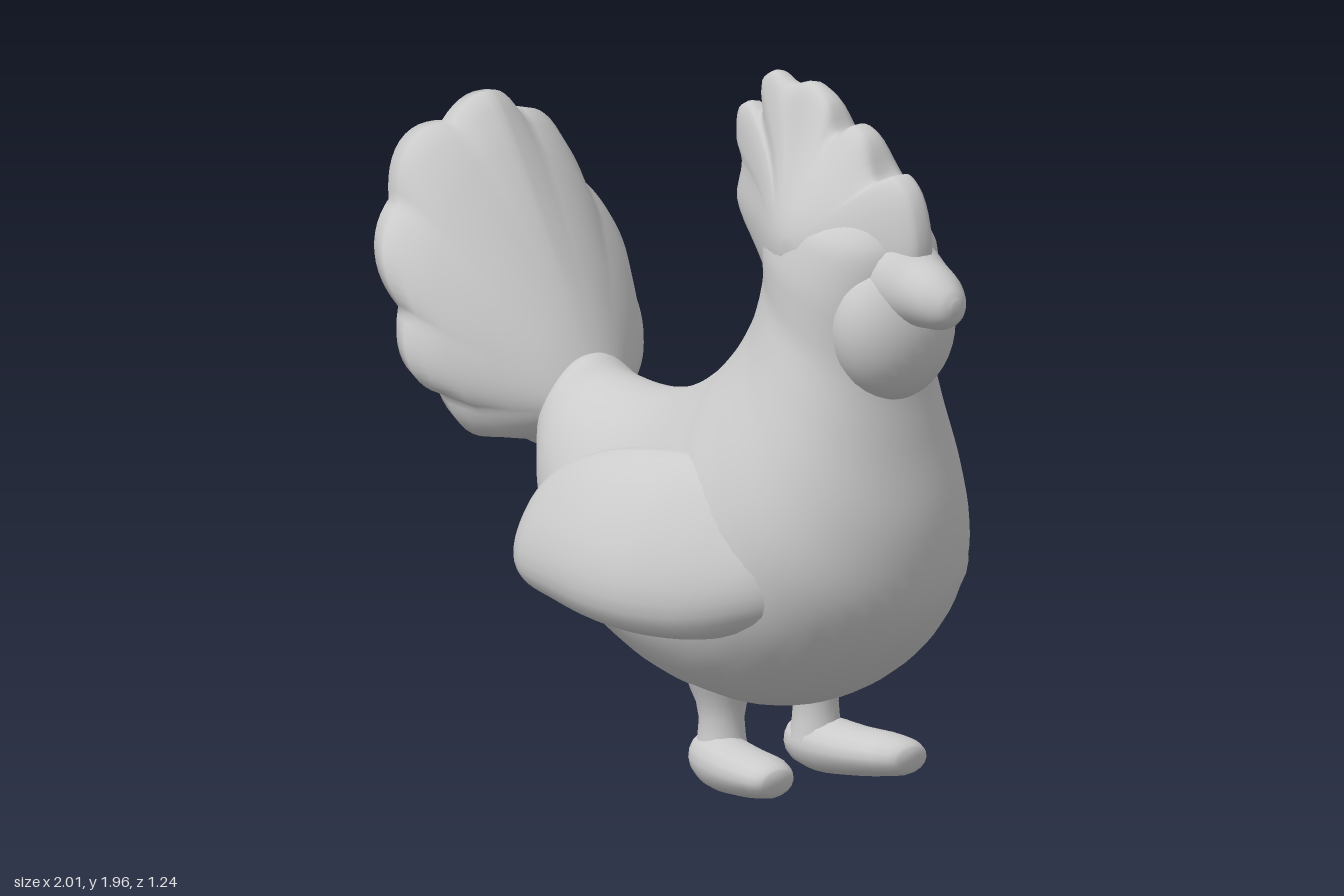
import * as THREE from 'three';

const material = new THREE.MeshStandardMaterial({ color: 0xcccccc, side: THREE.DoubleSide });

// Closed skin over a list of rings (arrays of Vector3), each end drawn to its centre
function skin(name, rings) {
  const n = rings[0].length;
  const cap = (ring) => {
    const c = ring.reduce((s, p) => s.add(p), new THREE.Vector3()).divideScalar(n);
    return ring.map(() => c);
  };
  const all = [cap(rings[0]), ...rings, cap(rings[rings.length - 1])];
  const position = all.flat().flatMap((p) => [p.x, p.y, p.z]);
  const index = [];
  for (let i = 0; i < all.length - 1; i++) {
    for (let j = 0; j < n; j++) {
      const a = i * n + j, b = i * n + (j + 1) % n;
      index.push(a, b, a + n, b, b + n, a + n);
    }
  }
  const geometry = new THREE.BufferGeometry();
  geometry.setAttribute('position', new THREE.Float32BufferAttribute(position, 3));
  geometry.setIndex(index);
  geometry.computeVertexNormals();
  const mesh = new THREE.Mesh(geometry, material);
  mesh.name = name;
  return mesh;
}

// Smooth loft through oval stations [topX, topY, bottomX, bottomY, z, halfWidth].
// belly widens the lower half, lean tips the section inward at the top.
function loft(name, stations, { steps = 5, sides = 32, belly = 0, lean = 0 } = {}) {
  const curve = (k) => new THREE.CatmullRomCurve3(
    stations.map((s) => new THREE.Vector3(s[k], s[k + 1], 0)));
  const [tops, bottoms, widths] = [curve(0), curve(2), curve(4)];
  const count = (stations.length - 1) * steps;
  const rings = [];
  for (let i = 0; i <= count; i++) {
    const t = i / count;
    const top = tops.getPoint(t), bottom = bottoms.getPoint(t), w = widths.getPoint(t);
    const mid = top.clone().add(bottom).multiplyScalar(0.5);
    const half = top.clone().sub(mid);
    rings.push(Array.from({ length: sides }, (_, j) => {
      const a = (j / sides) * Math.PI * 2, c = Math.cos(a);
      const z = w.x + Math.max(w.y, 0.002) * Math.sin(a) * (1 - belly * c) - lean * half.y * c;
      return mid.clone().addScaledVector(half, c).setZ(z);
    }));
  }
  return skin(name, rings);
}

// Mirror a part made for +z over to -z
function mirrored(part, name) {
  const copy = part.clone();
  copy.name = name;
  copy.scale.z = -1;
  return copy;
}

// Thick comb: scalloped and rounded at the edge, smooth where it runs into the head
function makeComb() {
  const outline = [
    [0.31, 1.41], [0.2, 1.49], [0.12, 1.6], [0.14, 1.71], [0.115, 1.77], [0.125, 1.85],
    [0.17, 1.87], [0.225, 1.85], [0.22, 1.94], [0.27, 1.97], [0.34, 1.945], [0.42, 1.96],
    [0.5, 1.92], [0.545, 1.84], [0.6, 1.87], [0.66, 1.84], [0.715, 1.735], [0.77, 1.755],
    [0.83, 1.71], [0.865, 1.6], [0.86, 1.5], [0.8, 1.38], [0.6, 1.32], [0.42, 1.35],
  ].map(([x, y]) => new THREE.Vector3(x, y, 0));
  const edge = new THREE.CatmullRomCurve3(outline, true).getPoints(96).slice(0, -1);
  const centre = new THREE.Vector3(0.53, 1.54, 0);
  const rings = [];
  for (let i = 1; i < 32; i++) {
    const t = (i / 32) * Math.PI, s = Math.sin(t);
    const side = Math.sign(16 - i);
    const rim = 0.08 * Math.abs(Math.cos(t)) ** 0.65;
    const z = side * (rim + 0.12 * (1 - s) ** 2 * (1 + 2 * s));
    rings.push(edge.map((p) => {
      const spoke = p.clone().sub(centre);
      const r = THREE.MathUtils.lerp(0.36, spoke.length(), s ** 4);
      return spoke.setLength(r * s).add(centre).setZ(z);
    }));
  }
  return skin('comb', rings);
}

// Fan tail: a cone opening backward to a thick scalloped rim, widest low down
function makeTail() {
  // centre x, centre y, scale, scallop depth, backward sweep of the sides
  const stations = [
    [-0.48, 0.97, 0.2, 0, 0], [-0.54, 1.04, 0.37, 0, 0], [-0.62, 1.12, 0.61, 0.01, 0.1],
    [-0.7, 1.2, 0.84, 0.03, 0.4], [-0.75, 1.245, 0.95, 0.07, 0.7],
    [-0.785, 1.265, 1, 0.1, 0.95], [-0.825, 1.275, 0.97, 0.1, 1.1],
    [-0.84, 1.275, 0.89, 0.07, 1.1], [-0.825, 1.265, 0.7, 0.02, 0.7],
    [-0.79, 1.25, 0.35, 0, 0.2], [-0.78, 1.25, 0.05, 0, 0],
  ];
  const sides = 120;
  return skin('tail', stations.map(([x, y, s, depth, sweep]) =>
    Array.from({ length: sides }, (_, j) => {
      const a = (j / sides) * Math.PI * 2, sin = Math.sin(a), cos = Math.cos(a);
      const r = s * (1 + depth * (Math.abs(Math.cos(5 * a)) - 0.8));
      const v = r * (0.48 * cos - 0.09 * sin * sin);
      const back = sweep * (0.045 * sin * sin + 0.13 * Math.abs(sin) * Math.max(cos, 0));
      return new THREE.Vector3(x - 0.25 * v - back, y + 0.96 * v, -0.425 * r * sin);
    })));
}

export function createModel() {
  const model = new THREE.Group();
  model.name = 'rooster';

  // Body, neck and head in one sweep from rump to crown
  const body = loft('body', [
    [-0.6, 1.0, -0.61, 0.86, 0, 0.08],
    [-0.48, 1.075, -0.565, 0.77, 0, 0.16],
    [-0.4, 1.04, -0.5, 0.61, 0, 0.22],
    [-0.25, 1.02, -0.36, 0.46, 0, 0.305],
    [-0.1, 1.04, -0.1, 0.32, 0, 0.38],
    [0.03, 1.09, 0.15, 0.245, 0, 0.425],
    [0.13, 1.15, 0.4, 0.24, 0, 0.445],
    [0.2, 1.21, 0.62, 0.345, 0, 0.43],
    [0.25, 1.28, 0.78, 0.53, 0, 0.375],
    [0.28, 1.35, 0.82, 0.75, 0, 0.31],
    [0.29, 1.41, 0.79, 1.0, 0, 0.255],
    [0.29, 1.47, 0.77, 1.2, 0, 0.22],
    [0.28, 1.54, 0.8, 1.38, 0, 0.215],
    [0.32, 1.62, 0.82, 1.54, 0, 0.185],
    [0.42, 1.675, 0.77, 1.63, 0, 0.115],
    [0.52, 1.69, 0.7, 1.67, 0, 0.03],
  ], { sides: 48, belly: 0.18 });

  const beak = loft('beak', [
    [0.75, 1.6, 0.75, 1.33, 0, 0.125], [0.81, 1.58, 0.81, 1.34, 0, 0.12],
    [0.87, 1.545, 0.87, 1.35, 0, 0.1], [0.94, 1.51, 0.95, 1.355, 0, 0.075],
    [0.985, 1.47, 0.985, 1.375, 0, 0.045], [1.0, 1.44, 1.0, 1.41, 0, 0.015],
  ]);

  const wattle = new THREE.Mesh(new THREE.SphereGeometry(1, 28, 20), material);
  wattle.name = 'wattle';
  wattle.scale.set(0.145, 0.21, 0.19);
  wattle.position.set(0.735, 1.34, 0);

  const wing = loft('rightWing', [
    [-0.235, 0.7, -0.235, 0.67, 0.46, 0.012], [-0.22, 0.79, -0.22, 0.6, 0.46, 0.05],
    [-0.15, 0.86, -0.15, 0.56, 0.465, 0.085], [0, 0.93, 0, 0.53, 0.465, 0.115],
    [0.15, 0.96, 0.15, 0.5, 0.45, 0.14], [0.3, 0.965, 0.3, 0.48, 0.41, 0.15],
    [0.45, 0.95, 0.45, 0.48, 0.335, 0.15], [0.6, 0.88, 0.6, 0.53, 0.225, 0.14],
    [0.72, 0.76, 0.72, 0.62, 0.12, 0.05],
  ], { lean: 0.3, belly: 0.25 });

  // Leg with a flat, slightly splayed foot
  const leg = new THREE.Group();
  leg.name = 'rightLeg';
  const shank = new THREE.Mesh(new THREE.LatheGeometry(
    [[0.075, 0.1], [0.066, 0.15], [0.062, 0.2], [0.07, 0.245], [0.085, 0.28], [0.1, 0.32]]
      .map(([r, y]) => new THREE.Vector2(r, y)), 20), material);
  shank.name = 'shank';
  shank.position.set(0.23, 0, 0.17);
  const foot = loft('foot', [
    [0.155, 0.13, 0.165, 0.06, 0.17, 0.03], [0.17, 0.155, 0.18, 0.03, 0.172, 0.07],
    [0.25, 0.16, 0.25, 0.008, 0.185, 0.09], [0.36, 0.145, 0.36, 0.01, 0.205, 0.095],
    [0.48, 0.135, 0.48, 0.022, 0.23, 0.09], [0.54, 0.115, 0.53, 0.035, 0.24, 0.06],
    [0.55, 0.09, 0.545, 0.06, 0.24, 0.02],
  ], { sides: 16, steps: 3 });
  leg.add(shank, foot);

  model.add(body, makeComb(), beak, wattle, makeTail(),
    wing, mirrored(wing, 'leftWing'), leg, mirrored(leg, 'leftLeg'));
  return model;
}
